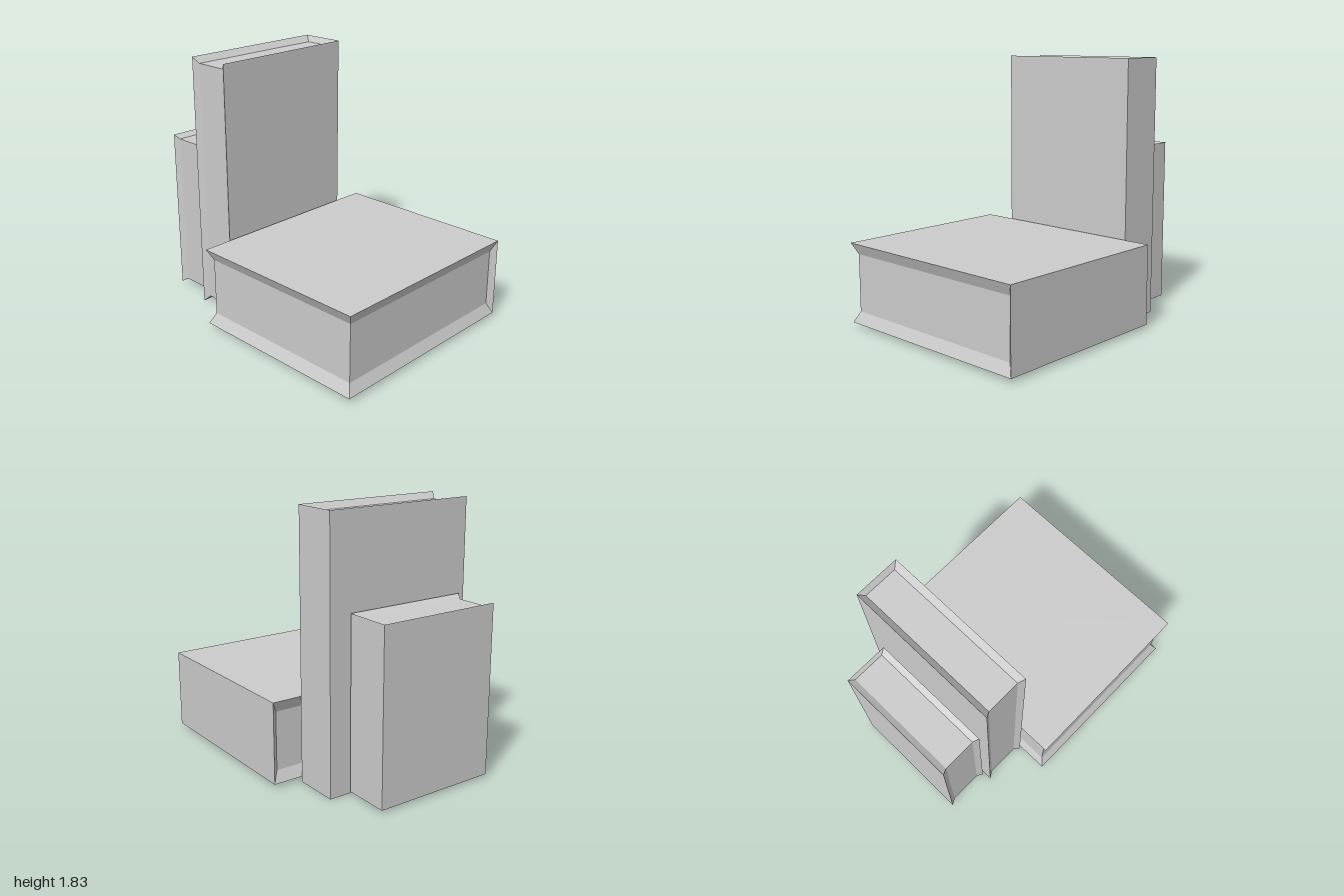
import * as THREE from 'three';

// Book lying flat: spine on +x, covers on +y and -y, page block recessed on the other three sides.
function bookGeometry(width, thickness, length, insetX, coverDepth, insetZ) {
  const outer = ([x, y, z]) => [x * width / 2, y * thickness / 2, z * length / 2];
  const inner = ([x, y, z]) => [
    x * (width / 2 - insetX), y * (thickness / 2 - coverDepth), z * (length / 2 - insetZ)];
  const positions = [];
  const quad = (a, b, c, d) => positions.push(...a, ...b, ...c, ...a, ...c, ...d);

  // Covers and spine
  quad(...[[-1, 1, 1], [1, 1, 1], [1, 1, -1], [-1, 1, -1]].map(outer));
  quad(...[[-1, -1, -1], [1, -1, -1], [1, -1, 1], [-1, -1, 1]].map(outer));
  quad(...[[1, -1, 1], [1, -1, -1], [1, 1, -1], [1, 1, 1]].map(outer));

  // Recessed pages with sloped edges; 'sides' lists which border slopes exist
  const recess = (corners, sides) => {
    const o = corners.map(outer), n = corners.map(inner);
    quad(...n);
    for (const i of sides) {
      const j = (i + 1) % 4;
      quad(o[i], o[j], n[j], n[i]);
    }
  };
  recess([[-1, -1, 1], [1, -1, 1], [1, 1, 1], [-1, 1, 1]], [0, 1, 2]);
  recess([[1, -1, -1], [-1, -1, -1], [-1, 1, -1], [1, 1, -1]], [0, 2, 3]);
  recess([[-1, -1, -1], [-1, -1, 1], [-1, 1, 1], [-1, 1, -1]], [0, 2]);

  const geometry = new THREE.BufferGeometry();
  geometry.setAttribute('position', new THREE.Float32BufferAttribute(positions, 3));
  geometry.computeVertexNormals();
  return geometry;
}

export function createModel() {
  const group = new THREE.Group();
  const material = new THREE.MeshStandardMaterial({
    color: 0xcccccc, flatShading: true, side: THREE.DoubleSide });

  const books = [
    { name: 'lyingBook', size: [1.51, 0.56, 1.325], inset: [0.04, 0.078, 0.035], at: [0, 0.31, 0.3375] },
    { name: 'tallStandingBook', size: [1.086, 0.322, 1.826], inset: [0.026, 0.042, 0.043], at: [0.01, 0.913, -0.499], upright: true },
    { name: 'shortStandingBook', size: [0.884, 0.32, 1.174], inset: [0.021, 0.042, 0.028], at: [-0.03, 0.608, -0.84], upright: true },
  ];
  for (const { name, size, inset, at, upright } of books) {
    const book = new THREE.Mesh(bookGeometry(...size, ...inset), material);
    book.name = name;
    book.position.set(...at);
    if (upright) book.rotation.x = Math.PI / 2;
    group.add(book);
  }
  return group;
}
